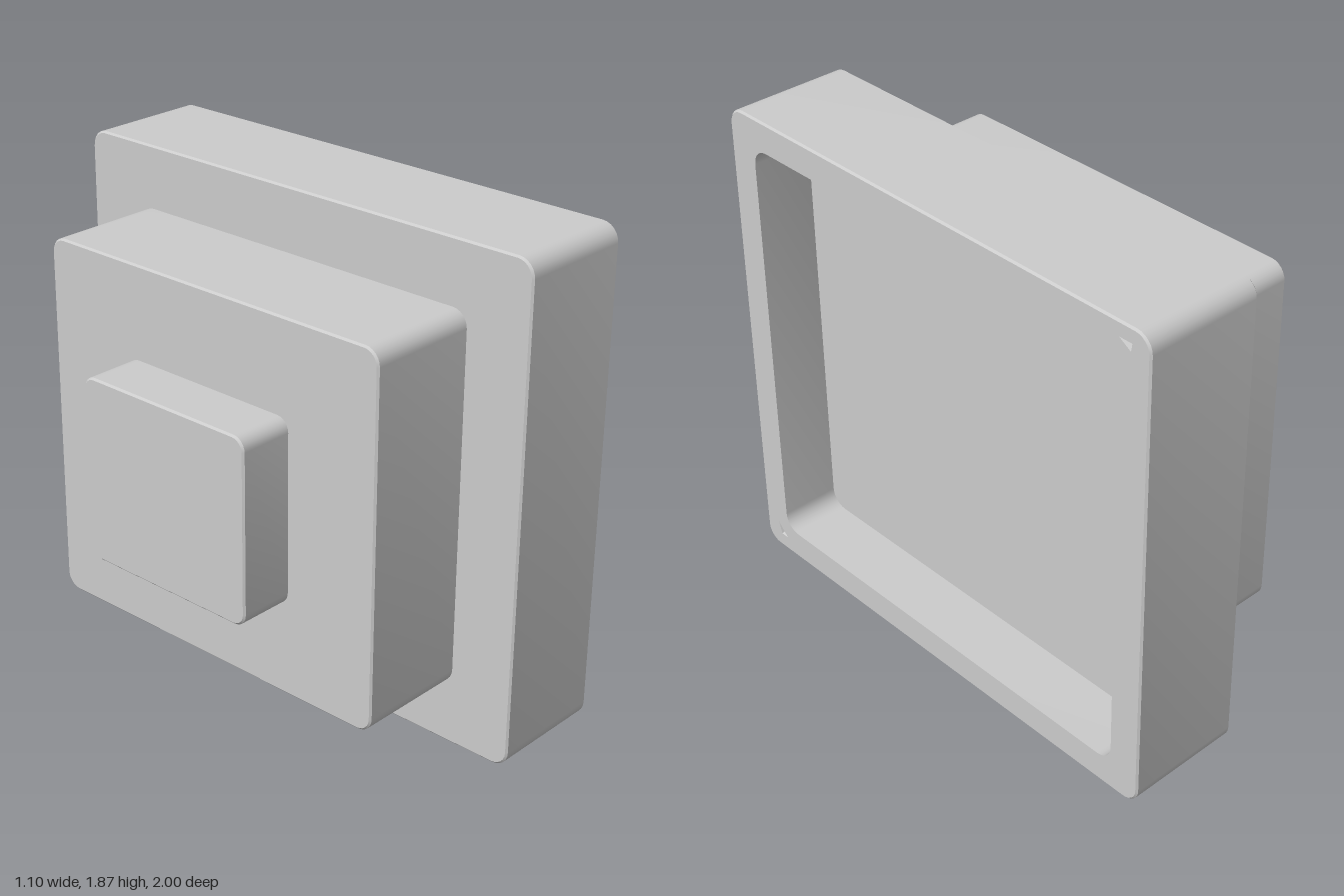
import * as THREE from 'three';
import { mergeVertices, toCreasedNormals } from 'three/addons/utils/BufferGeometryUtils.js';

const CENTRE_Y = 0.935;
const material = new THREE.MeshStandardMaterial({ color: 0xcccccc });

// Rounded rectangle outline, counter-clockwise
function outline(halfW, halfH, r, steps = 6) {
  const pts = [];
  [[1, 1], [-1, 1], [-1, -1], [1, -1]].forEach(([sx, sy], corner) => {
    for (let i = 0; i <= steps; i++) {
      const a = (corner + i / steps) * Math.PI / 2;
      pts.push(new THREE.Vector2(sx * (halfW - r) + r * Math.cos(a), sy * (halfH - r) + r * Math.sin(a)));
    }
  });
  return pts;
}

// Skin through sections [depth, halfW, halfH, radius], with optional end caps
function loft(sections, capStart, capEnd) {
  const pos = [], index = [];
  let n = 0;
  for (const [z, w, h, r] of sections) {
    const ring = outline(w, h, r);
    n = ring.length;
    ring.forEach(p => pos.push(p.x, p.y, z));
  }
  const last = sections.length - 1;
  for (let s = 0; s < last; s++) {
    for (let i = 0; i < n; i++) {
      const a = s * n + i, b = s * n + (i + 1) % n;
      index.push(a, b, b + n, a, b + n, a + n);
    }
  }
  const cap = (s, flip) => {
    const c = pos.length / 3;
    pos.push(0, 0, sections[s][0]);
    for (let i = 0; i < n; i++) {
      const a = s * n + i, b = s * n + (i + 1) % n;
      index.push(c, flip ? b : a, flip ? a : b);
    }
  };
  if (capStart) cap(0, true);
  if (capEnd) cap(last, false);
  const g = new THREE.BufferGeometry();
  g.setAttribute('position', new THREE.Float32BufferAttribute(pos, 3));
  g.setIndex(index);
  return toCreasedNormals(mergeVertices(g), 0.5);
}

// Sections of a block with slightly eased ends
function block(z0, z1, w, h, r, e = 0.007) {
  return [[z0, w - e, h - e, r - e], [z0 + e, w, h, r], [z1 - e, w, h, r], [z1, w - e, h - e, r - e]];
}

// Three-sided pit sunk behind a triangular opening (counter-clockwise corners)
function pit(corners, z, depth) {
  const cx = (corners[0].x + corners[1].x + corners[2].x) / 3;
  const cy = (corners[0].y + corners[1].y + corners[2].y) / 3;
  const pos = [];
  corners.forEach((a, i) => {
    const b = corners[(i + 1) % 3];
    pos.push(a.x, a.y, z, b.x, b.y, z, cx, cy, z - depth);
  });
  const g = new THREE.BufferGeometry();
  g.setAttribute('position', new THREE.Float32BufferAttribute(pos, 3));
  g.computeVertexNormals();
  return g;
}

export function createModel() {
  const model = new THREE.Group();
  const body = new THREE.Group();
  body.name = 'steppedHousing';
  // Built along z, then turned so the open side faces +x
  body.rotation.y = Math.PI / 2;
  body.position.y = CENTRE_Y;
  model.add(body);
  const add = (name, geometry) => {
    const mesh = new THREE.Mesh(geometry, material);
    mesh.name = name;
    body.add(mesh);
  };

  // Stepped blocks, overlapping slightly at their joins
  add('smallBlock', loft(block(-0.553, -0.33, 0.375, 0.348, 0.05), true, false));
  add('middleBlock', loft(block(-0.342, 0.1, 0.75, 0.698, 0.06), true, false));
  add('largeShell', loft(block(0.092, 0.55, 1, 0.935, 0.065), true, false));

  // Shallow recess in the open side
  const recess = [0.875, 0.82, 0.065];
  add('recess', loft([[0.55, ...recess], [0.32, ...recess]], false, true));

  // Rim with two tiny corner pits
  const pits = [
    [[0.87, 0.88], [0.92, 0.85], [0.925, 0.88]],
    [[-0.93, -0.825], [-0.915, -0.875], [-0.88, -0.875]],
  ].map(t => t.map(([x, y]) => new THREE.Vector2(x, y)));
  const rim = new THREE.Shape(outline(0.993, 0.928, 0.058));
  rim.holes.push(new THREE.Path(outline(...recess)));
  pits.forEach(t => rim.holes.push(new THREE.Path(t)));
  const rimGeometry = new THREE.ShapeGeometry(rim);
  rimGeometry.translate(0, 0, 0.55);
  add('rim', rimGeometry);
  pits.forEach((t, i) => add('cornerPit' + (i + 1), pit(t, 0.55, 0.04)));

  return model;
}
